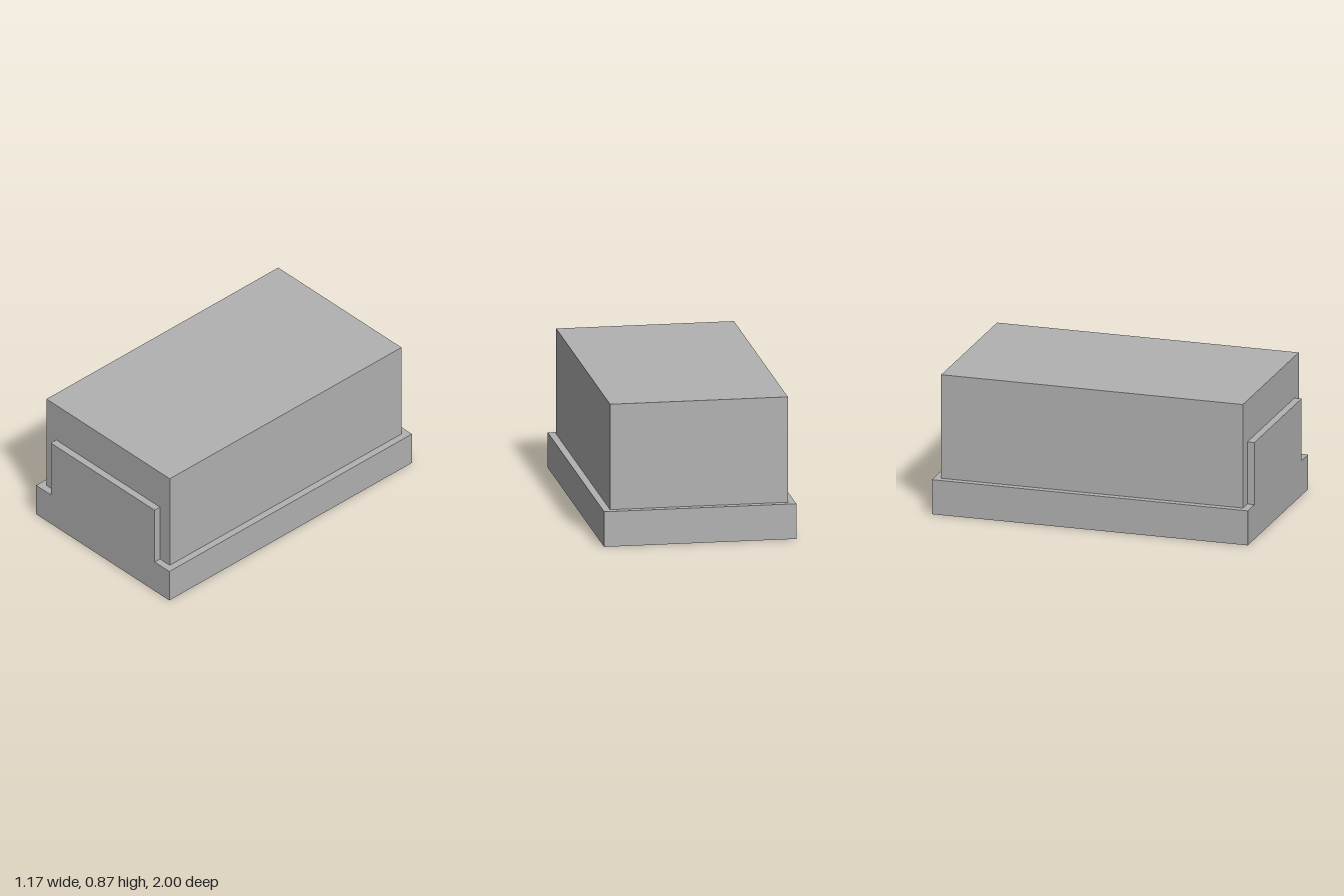
import * as THREE from 'three';

export function createModel() {
  const group = new THREE.Group();
  const grey = new THREE.MeshStandardMaterial({ color: 0xb2b2b2 });
  grey.name = 'grey';

  // Box given by its width, vertical range and depth range
  const addBox = (name, width, y0, y1, z0, z1) => {
    const mesh = new THREE.Mesh(new THREE.BoxGeometry(width, y1 - y0, z1 - z0), grey);
    mesh.position.set(0, (y0 + y1) / 2, (z0 + z1) / 2);
    mesh.name = name;
    group.add(mesh);
  };

  const baseTop = 0.218;
  const bodyFront = 0.955;

  addBox('base', 1.174, 0, baseTop, -1, 1);
  addBox('body', 1.086, baseTop, 0.872, -bodyFront, bodyFront);
  // Raised panel flush with the front of the base
  addBox('frontPanel', 0.914, baseTop, 0.61, bodyFront, 1);

  return group;
}
